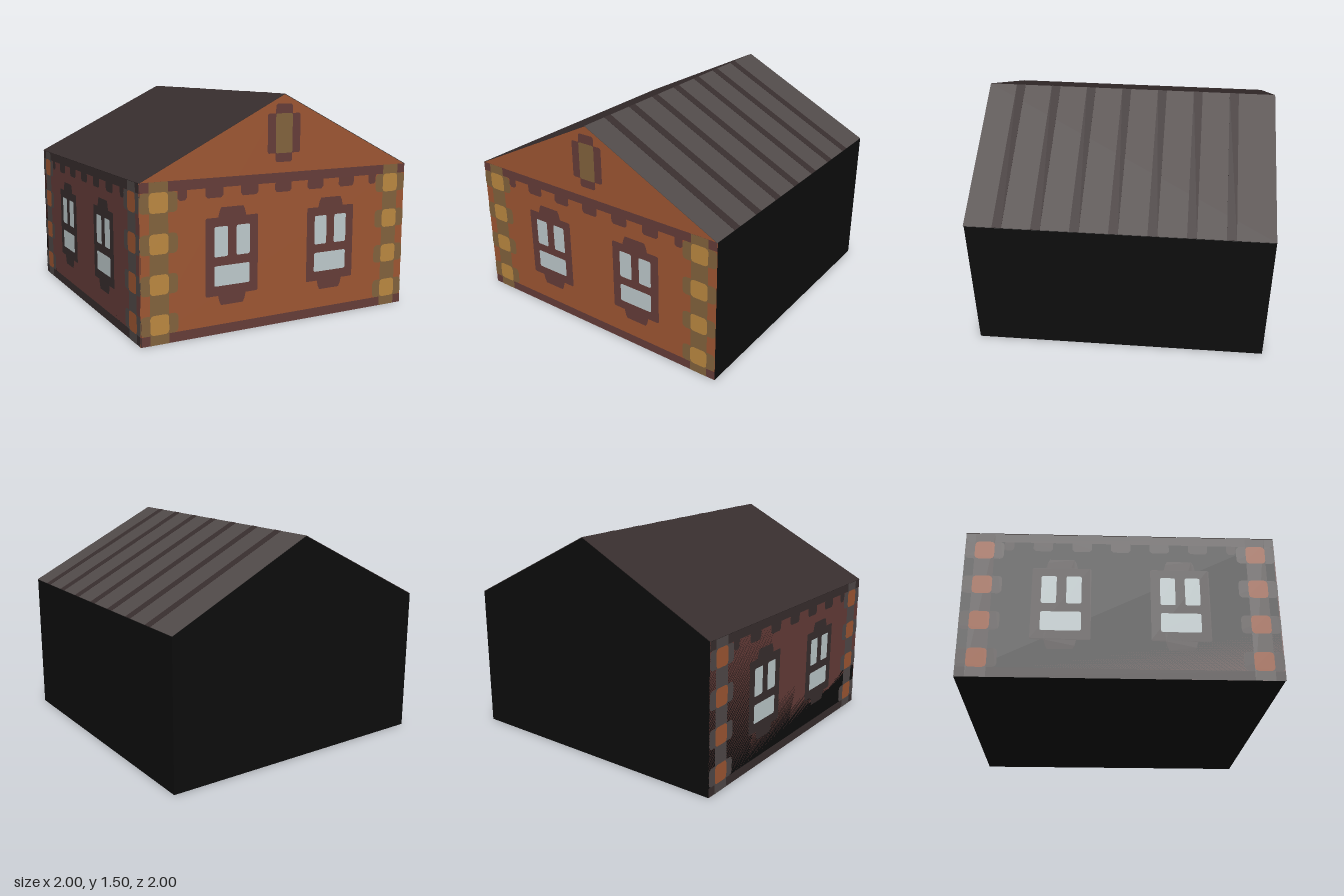
import * as THREE from 'three';

const mat = (name, color) => {
  const m = new THREE.MeshStandardMaterial({ color });
  m.name = name;
  return m;
};

const CELL = 0.0625;   // every painted detail sits on this square module
const LAYER = 0.0012;  // height of one painted layer
const INSET = 0.004;   // room left for the layers outside the core

const poly = (pts) => new THREE.Shape(pts.map(([x, y]) => new THREE.Vector2(x, y)));

// Rectangle with softened corners
function rect(x0, y0, x1, y1, r = 0) {
  if (!r) return poly([[x0, y0], [x1, y0], [x1, y1], [x0, y1]]);
  const c = r * 0.3;
  return poly([
    [x0 + r, y0], [x1 - r, y0], [x1 - c, y0 + c], [x1, y0 + r],
    [x1, y1 - r], [x1 - c, y1 - c], [x1 - r, y1], [x0 + r, y1],
    [x0 + c, y1 - c], [x0, y1 - r], [x0, y0 + r], [x0 + c, y0 + c],
  ]);
}

// Flat painted layer in front of a wall
function paint(parent, name, shapes, layer, material) {
  const mesh = new THREE.Mesh(new THREE.ShapeGeometry(shapes), material);
  mesh.name = name;
  mesh.position.z = 1 - INSET + layer * LAYER;
  parent.add(mesh);
}

// Decorated wall: plinth, scalloped cornice, corner logs and two windows
function facade(name, wallShape, m) {
  const g = new THREE.Group();
  g.name = name;
  paint(g, 'wall', [wallShape], 0, m.wall);

  // Plinth and cornice with hanging teeth
  const trim = [rect(-1, 0, 1, CELL), rect(-1, 1 - CELL, 1, 1)];
  const tooth = (x0, x1) => {
    const b = 1 - 2 * CELL, t = 1 - CELL, s = 0.015;
    trim.push(poly([[x0, t], [x0, b + s], [x0 + s, b], [x1 - s, b], [x1, b + s], [x1, t]]));
  };
  for (let x = -0.5; x <= 0.5; x += 0.25) tooth(x - CELL, x + CELL);
  tooth(-0.75, -0.75 + CELL);
  tooth(0.75 - CELL, 0.75);
  paint(g, 'trim', trim, 1, m.trim);

  // Corner posts with stacked log ends
  const posts = [], ends = [];
  for (const s of [-1, 1]) {
    const cx = s * 0.875;
    posts.push(rect(cx - CELL, 0, cx + CELL, 1));
    for (let i = 0; i < 4; i++) {
      const y = CELL + i * 0.25;
      posts.push(rect(cx - 2 * CELL, y, cx + 2 * CELL, y + 2 * CELL, 0.025));
      ends.push(rect(cx - CELL, y, cx + CELL, y + 2 * CELL, 0.022));
    }
  }
  paint(g, 'cornerPosts', posts, 2, m.post);
  paint(g, 'logEnds', ends, 3, m.logEnd);

  // Windows
  const frames = [], panes = [];
  for (const cx of [-0.375, 0.375]) {
    frames.push(rect(cx - 0.1875, 0.25, cx + 0.1875, 0.75, 0.01));
    frames.push(poly([
      [cx - 0.078, 0.1875], [cx + 0.078, 0.1875], [cx + 0.09, 0.21], [cx + 0.1, 0.25],
      [cx + 0.1, 0.75], [cx + 0.09, 0.79], [cx + 0.078, 0.8125],
      [cx - 0.078, 0.8125], [cx - 0.09, 0.79], [cx - 0.1, 0.75],
      [cx - 0.1, 0.25], [cx - 0.09, 0.21],
    ]));
    panes.push(
      rect(cx - 0.127, 0.5, cx - 0.031, 0.6925, 0.01),
      rect(cx + 0.031, 0.5, cx + 0.127, 0.6925, 0.01),
      rect(cx - 0.127, 0.3125, cx + 0.127, 0.4425, 0.01));
  }
  paint(g, 'windowFrames', frames, 2, m.trim);
  paint(g, 'windowPanes', panes, 3, m.glass);
  return g;
}

export function createModel() {
  const orange = mat('orange timber', 0x9f5733);
  const maroon = mat('maroon trim', 0x663d39);
  const brown = mat('brown timber', 0x83633d);
  const ochre = mat('ochre log end', 0xbc8941);
  const glass = mat('pale glass', 0xbfcbcd);
  const grey = mat('roof grey', 0x514a49);
  const dark = mat('roof dark', 0x382e2e);
  const black = mat('unlit black', 0x0d0d0d);

  const model = new THREE.Group();
  model.name = 'cottage';

  // Plain core: back, right wall and underside
  const core = new THREE.Mesh(new THREE.ExtrudeGeometry(
    poly([[-1 + INSET, 0], [1, 0], [1, 1 - INSET], [0, 1.5 - INSET], [-1 + INSET, 1 - INSET]]),
    { depth: 2 - INSET * 1.5, bevelEnabled: false }), black);
  core.name = 'core';
  core.position.z = -1;
  model.add(core);

  // Front wall with gable window
  const front = facade('frontWall', poly([[-1, 0], [1, 0], [1, 1], [0, 1.5], [-1, 1]]),
    { wall: orange, trim: maroon, post: brown, logEnd: ochre, glass });
  paint(front, 'gableFrame', [
    rect(-0.122, 1.125, 0.122, 1.377, 0.012),
    rect(-0.0625, 1.068, 0.0625, 1.4375, 0.015),
  ], 1, maroon);
  paint(front, 'gableShutter', [rect(-0.0625, 1.125, 0.0625, 1.377, 0.01)], 2, brown);
  model.add(front);

  // Left wall repeats the pattern in darker colours
  const side = facade('sideWall', rect(-1, 0, 1, 1),
    { wall: maroon, trim: dark, post: grey, logEnd: orange, glass });
  side.rotation.y = -Math.PI / 2;
  model.add(side);

  // Roof slopes as thin plates whose tops run from eave to ridge
  const slope = Math.hypot(1, 0.5), angle = Math.atan2(0.5, 1);
  const roofPlate = (name, s, z, depth, thick, lift, material) => {
    const mesh = new THREE.Mesh(new THREE.BoxGeometry(slope, thick, depth), material);
    const off = lift - thick / 2;
    mesh.name = name;
    mesh.position.set(s * (0.5 + off * Math.sin(angle)), 1.25 + off * Math.cos(angle), z);
    mesh.rotation.z = -s * angle;
    model.add(mesh);
  };
  roofPlate('roofLeft', -1, 0, 2, 0.003, 0, dark);
  roofPlate('roofRight', 1, 0, 2, 0.003, 0, grey);
  for (let k = -3; k <= 3; k++) {
    roofPlate('roofSeam', 1, k * 0.25 + CELL / 2, CELL, 0.002, 0.0015, dark);
  }
  return model;
}
